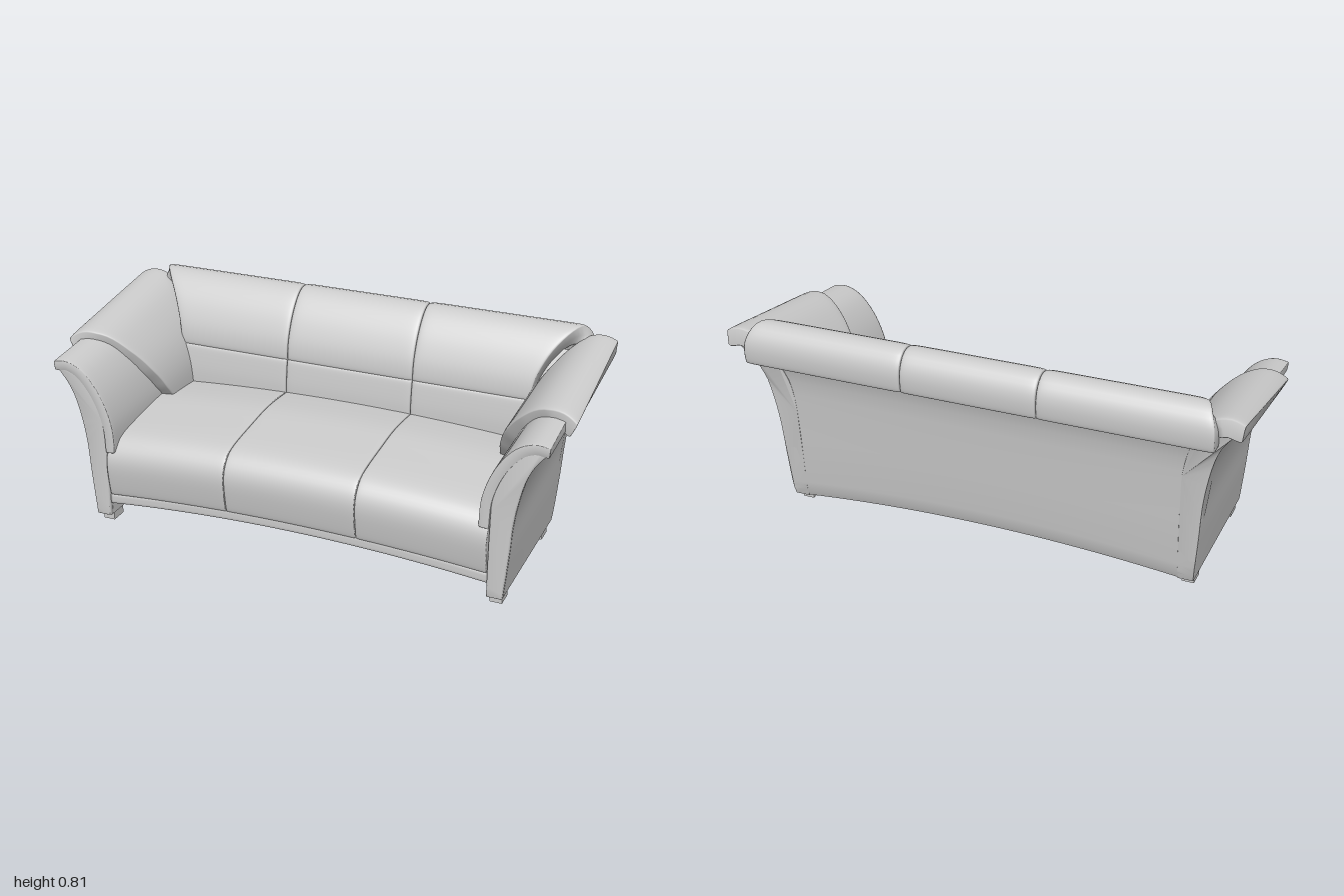
import * as THREE from 'three';
import { mergeVertices, toCreasedNormals } from 'three/addons/utils/BufferGeometryUtils.js';

const material = new THREE.MeshStandardMaterial({ color: 0xcccccc, roughness: 0.8 });
const lerp = THREE.MathUtils.lerp;
const spline = (pts) => new THREE.SplineCurve(pts.map(([a, b]) => new THREE.Vector2(a, b)));

// Piecewise-linear lookup in [key, value] pairs
function table(pairs, k) {
  if (k <= pairs[0][0]) return pairs[0][1];
  for (let i = 1; i < pairs.length; i++) {
    const [k0, v0] = pairs[i - 1], [k1, v1] = pairs[i];
    if (k <= k1) return lerp(v0, v1, (k - k0) / (k1 - k0));
  }
  return pairs[pairs.length - 1][1];
}

// Gentle upward bow of the seat and base towards the middle
const arch = (x) => 0.042 * Math.max(0, 1 - (x / 0.78) ** 2);

// Upholstered pad: a surface P(u, v) thickened by t both ways, with rounded borders
function padGeometry(P, t, pu = 8, pv = 8, n = 36) {
  const pos = [], idx = [], e = 1e-3;
  const round = (s, p) => Math.pow(Math.max(0, 1 - Math.abs(2 * s - 1) ** p), 1 / p);
  const step = (i) => (1 - Math.cos((Math.PI * i) / n)) / 2;
  for (const side of [1, -1]) {
    const base = pos.length / 3;
    for (let j = 0; j <= n; j++) for (let i = 0; i <= n; i++) {
      const u = step(i), v = step(j);
      const du = P(Math.min(1, u + e), v).sub(P(Math.max(0, u - e), v));
      const dv = P(u, Math.min(1, v + e)).sub(P(u, Math.max(0, v - e)));
      const f = i % n && j % n ? round(u, pu) * round(v, pv) : 0;
      const p = P(u, v).addScaledVector(du.cross(dv).normalize(), side * t * f);
      pos.push(p.x, p.y, p.z);
    }
    for (let j = 0; j < n; j++) for (let i = 0; i < n; i++) {
      const a = base + j * (n + 1) + i, b = a + 1, c = b + n + 1, d = c - 1;
      if (side > 0) idx.push(a, b, c, a, c, d);
      else idx.push(a, c, b, a, d, c);
    }
  }
  let g = new THREE.BufferGeometry();
  g.setAttribute('position', new THREE.Float32BufferAttribute(pos, 3));
  g.setIndex(idx);
  g = mergeVertices(g, 1e-5);
  g.computeVertexNormals();
  return g;
}

// Moves every vertex by a rule, then restores smooth faces with sharp edges
function reshape(geometry, rule) {
  const p = geometry.attributes.position, v = new THREE.Vector3();
  for (let i = 0; i < p.count; i++) {
    rule(v.fromBufferAttribute(p, i));
    p.setXYZ(i, v.x, v.y, v.z);
  }
  return toCreasedNormals(geometry, 0.6);
}

// Flared arm section and leaning back profile
const armOuter = [[0.815, 0.035], [0.83, 0.2], [0.842, 0.35], [0.868, 0.48], [0.9, 0.56], [0.945, 0.62]];
const armInner = [[0.93, 0.632], [0.86, 0.612], [0.8, 0.56], [0.765, 0.45], [0.758, 0.3], [0.757, 0.035]];
const outerByHeight = armOuter.map(([x, y]) => [y, x]);
const backByHeight = [[0.035, -0.243], [0.06, -0.253], [0.1, -0.26], [0.3, -0.275], [0.5, -0.293],
  [0.56, -0.3], [0.62, -0.316], [0.7, -0.35]];

function armShape(s) {
  const pts = [...spline(armOuter).getPoints(24), ...spline(armInner).getPoints(24)];
  return new THREE.Shape(pts.map((p) => new THREE.Vector2(p.x * s, p.y)));
}

export function createModel() {
  const group = new THREE.Group();
  const add = (name, geometry, parent = group) => {
    const mesh = new THREE.Mesh(geometry, material);
    mesh.name = name;
    parent.add(mesh);
    return mesh;
  };

  // Base and back shell, widening with the flare of the arms
  const shell = new THREE.Shape([
    [0.37, 0.085], [0.37, 0.12], [-0.15, 0.3], [-0.21, 0.55], [-0.3, 0.72], [-0.352, 0.71],
    ...[...backByHeight].reverse().map(([y, z]) => [z, y]),
  ].map(([z, y]) => new THREE.Vector2(-z, y)));
  const shellGeometry = new THREE.ExtrudeGeometry(shell, { depth: 2, steps: 32, bevelEnabled: false });
  shellGeometry.translate(0, 0, -1).rotateY(Math.PI / 2);
  add('baseAndBack', reshape(shellGeometry, (v) => {
    v.x *= Math.min(0.9, table(outerByHeight, v.y / 1.13) - 0.008);
    v.y += arch(v.x) * THREE.MathUtils.clamp(1.3 - v.y / 0.3, 0, 1);
  }));

  // Bowed front rail
  add('frontRail', padGeometry((u, v) => {
    const x = lerp(-0.76, 0.76, u);
    return new THREE.Vector3(x, lerp(0.08, 0.124, v) + arch(x), 0.365);
  }, 0.02, 40, 4));

  // Three columns of seat, lumbar and upper back cushions
  const seatLine = spline([[0.355, 0.125], [0.37, 0.25], [0.35, 0.305], [0.3, 0.33], [0.15, 0.35],
    [0, 0.363], [-0.2, 0.352]]);
  const lumbarLine = spline([[-0.2, 0.34], [-0.2, 0.45], [-0.212, 0.552]]);
  const backLine = spline([[-0.2, 0.545], [-0.212, 0.62], [-0.248, 0.7], [-0.298, 0.758],
    [-0.34, 0.77], [-0.366, 0.73], [-0.366, 0.655]]);
  const backEnd = (z) => Math.min(0.91, 0.67 + Math.max(0, -0.15 - z) * 1.05);
  const columns = [['right', -1, -0.26], ['middle', -0.26, 0.26], ['left', 0.26, 1]];
  for (const [side, a, b] of columns) {
    // A column bound of 1 stands for the outer end of the row
    const across = (u, end) => lerp(a === -1 ? -end : a, b === 1 ? end : b, u);
    const cushion = (name, line, end, t, pu, pv, bow) => add(side + name, padGeometry((u, v) => {
      const p = line.getPoint(v), x = across(u, end(p.x));
      return new THREE.Vector3(x, p.y + bow * arch(x), p.x);
    }, t, pu, pv));
    cushion('SeatCushion', seatLine, () => 0.755, 0.035, 26, 14, 0.85);
    cushion('LumbarCushion', lumbarLine, () => 0.73, 0.05, 20, 8, 0);
    cushion('BackCushion', backLine, backEnd, 0.04, 16, 9, 0);
  }

  // Arms, mirrored
  const lowerLine = spline([[0.955, 0.632], [0.9, 0.637], [0.84, 0.605], [0.782, 0.525],
    [0.745, 0.42], [0.738, 0.31]]);
  const upperLine = spline([[0.985, 0.645], [0.93, 0.67], [0.865, 0.655], [0.8, 0.6], [0.747, 0.53],
    [0.715, 0.45], [0.702, 0.35]]);
  const upperFront = [[0, 0.222], [0.25, 0.2], [0.5, 0.15], [0.7, 0.1], [0.85, 0.05], [1, -0.03]];
  for (const [side, s] of [['left', 1], ['right', -1]]) {
    const arm = new THREE.Group();
    arm.name = side + 'Arm';
    group.add(arm);

    // Side body, rising towards the back
    const body = new THREE.ExtrudeGeometry(armShape(s), { depth: 1, steps: 16, bevelEnabled: false });
    add(side + 'ArmBody', reshape(body, (v) => {
      v.z = lerp(table(backByHeight, v.y * 1.13), 0.376, v.z);
      v.y += 0.11 * (0.376 - v.z) * (Math.max(0, v.y - 0.035) / 0.6);
    }), arm);

    // Front facing panel
    const panel = new THREE.ExtrudeGeometry(armShape(s), {
      depth: 0.008, bevelThickness: 0.007, bevelSize: 0.005, bevelOffset: -0.005, bevelSegments: 3,
    });
    panel.translate(0, 0, 0.38);
    add(side + 'ArmFrontPanel', toCreasedNormals(panel, 0.6), arm);

    // Lower arm pad
    add(side + 'LowerArmPad', padGeometry((u, v) => {
      const p = lowerLine.getPoint(u), z = lerp(-0.2, 0.4, v);
      return new THREE.Vector3(s * p.x, p.y + 0.1 * (0.4 - z) * (1 - u), z);
    }, 0.02, 14, 24), arm);

    // Thick upper arm pad with a curved front edge, mitred to the back cushions
    add(side + 'UpperArmPad', padGeometry((u, v) => {
      const p = upperLine.getPoint(u);
      const back = Math.max(-0.37, -0.15 - (p.x - 0.67) * 0.96);
      const z = lerp(back, table(upperFront, u), v);
      return new THREE.Vector3(s * p.x, p.y + 0.145 * (0.2 - z) * (1 - 0.8 * u), z);
    }, 0.037, 10, 14), arm);

    // Feet
    for (const [end, z] of [['Front', 0.327], ['Back', -0.172]]) {
      const foot = new THREE.BoxGeometry(0.046, 0.045, 0.066);
      add(side + end + 'Foot', foot.translate(s * 0.785, 0.0225, z));
    }
  }
  return group;
}
